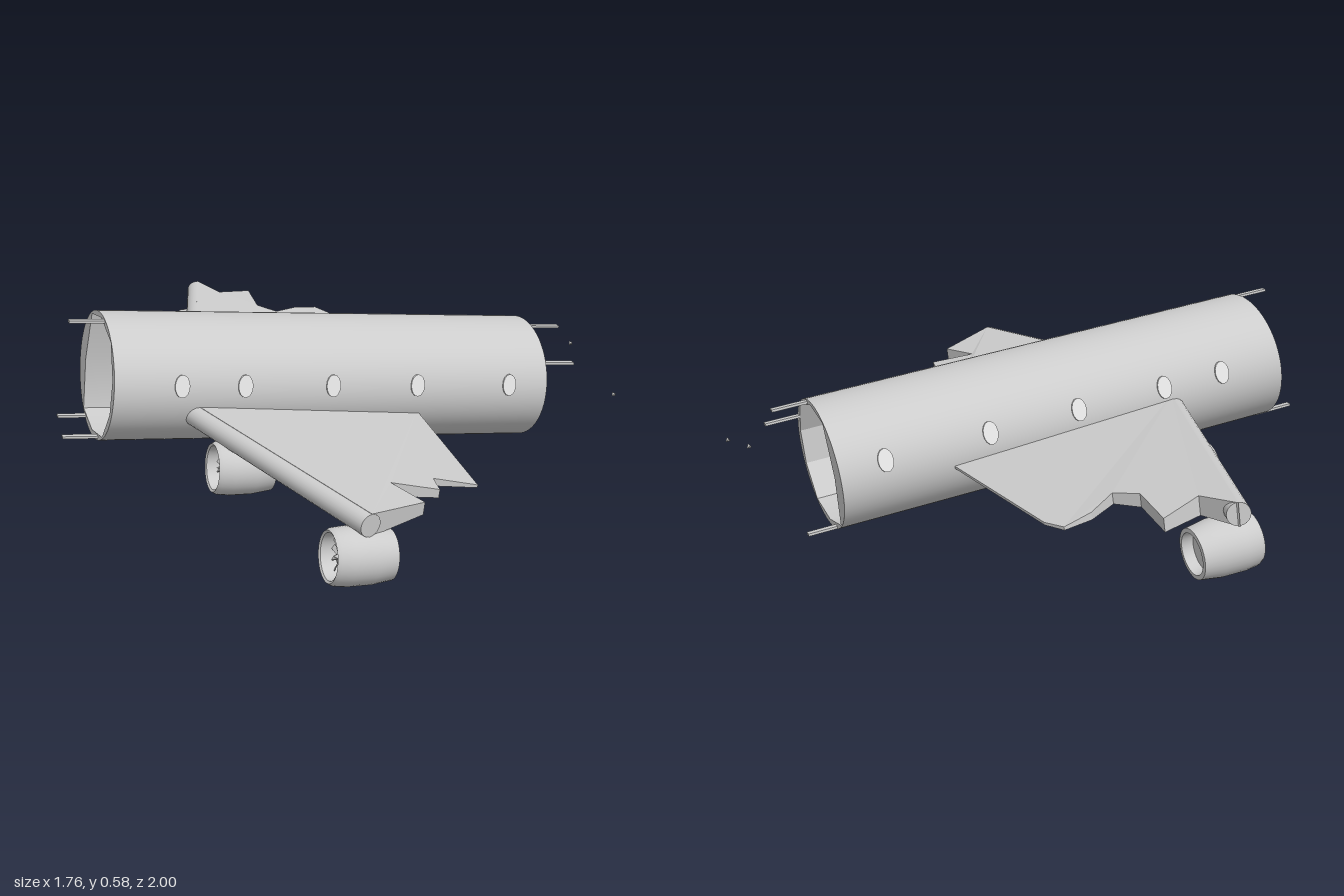
import * as THREE from 'three';
import { toCreasedNormals } from 'three/addons/utils/BufferGeometryUtils.js';

export function createModel() {
  const skin = new THREE.MeshStandardMaterial({ color: 0xcccccc });
  skin.name = 'bareMetal';
  const pane = new THREE.MeshStandardMaterial({ color: 0xf0f0f0 });
  pane.name = 'windowLight';
  const shade = new THREE.MeshStandardMaterial({ color: 0x8c8c8c });
  shade.name = 'fanShade';

  const model = new THREE.Group();
  model.name = 'wreckedAirliner';
  // local axes: x = port side, y = up, z = nose direction
  const plane = new THREE.Group();
  plane.name = 'airframe';
  model.add(plane);

  function add(parent, name, geo, mat, x = 0, y = 0, z = 0) {
    const m = new THREE.Mesh(geo, mat);
    m.name = name;
    m.position.set(x, y, z);
    parent.add(m);
    return m;
  }

  // Fuselage: elliptical tube with a faceted cabin bore
  const RX = 0.231, RY = 0.202, LEN = 1.487;
  const hull = new THREE.Shape();
  hull.absellipse(0, 0, RX, RY, 0, Math.PI * 2);
  hull.holes.push(new THREE.Path([
    [-0.12, 0.165], [0, 0.19], [0.14, 0.155], [0.198, 0.05], [0.198, -0.06],
    [0.13, -0.16], [0, -0.185], [-0.13, -0.16], [-0.155, 0],
  ].map(([x, y]) => new THREE.Vector2(x, y))));
  const hullGeo = new THREE.ExtrudeGeometry(hull, { depth: LEN, bevelEnabled: false, curveSegments: 28 });
  hullGeo.translate(0, 0, -LEN / 2);
  add(plane, 'fuselage', toCreasedNormals(hullGeo, 0.45), skin);

  // Cabin windows: thin rounded plates on both sides
  const win = new THREE.Shape();
  win.absellipse(0, 0, 0.024, 0.036, 0, Math.PI * 2);
  const winGeo = new THREE.ExtrudeGeometry(win, { depth: 0.008, bevelEnabled: false, curveSegments: 8 });
  const winY = 0.042;
  const winX = RX * Math.sqrt(1 - (winY / RY) ** 2);
  for (const side of [1, -1]) {
    for (const z of [0.53, 0.325, 0.03, -0.265, -0.6]) {
      const w = add(plane, 'cabinWindow', winGeo, pane, side * (winX - 0.003), winY, z);
      w.rotation.order = 'YXZ';
      w.rotation.set(-0.24, side * Math.PI / 2, 0);
    }
  }

  // Snapped stringers sticking out of both open ends: x, y, z
  const stringers = [
    [0.04, 0.19, 0.79], [0.07, -0.18, 0.79], [-0.1, -0.175, 0.77],
    [0.04, 0.19, -0.79], [-0.07, -0.185, -0.77], [0.18, 0.105, -0.79],
  ];
  for (const [x, y, z] of stringers)
    add(plane, 'stringer', new THREE.BoxGeometry(0.02, 0.008, 0.13), skin, x, y, z);

  // Wings: wedge plates with torn tips; outline points are [x, z]
  function makeWing(name, side, y0, noseZ, tailZ, outline) {
    const g = new THREE.Group();
    g.name = name;
    plane.add(g);
    const shape = new THREE.Shape(outline.map(([x, z]) => new THREE.Vector2(x, z)));
    const geo = new THREE.ExtrudeGeometry(shape, { depth: 1, bevelEnabled: false });
    const p = geo.attributes.position;
    for (let i = 0; i < p.count; i++) {
      const x = p.getX(i), z = p.getY(i), s = Math.abs(x);
      const le = noseZ - 0.298 * s, te = tailZ + 0.1 * s;
      const t = 0.008 + 0.062 * THREE.MathUtils.clamp((z - te) / (le - te), 0, 1);
      p.setXYZ(i, x, y0 + (0.5 - p.getZ(i)) * t, z);
    }
    geo.computeVertexNormals();
    add(g, 'wingPanel', geo, skin);
    // rounded leading edge
    const tip = side > 0 ? 1.055 : 1.07;
    const a = new THREE.Vector3(side * 0.195, y0, noseZ - 0.298 * 0.195);
    const b = new THREE.Vector3(side * tip, y0, noseZ - 0.298 * tip);
    const dir = b.clone().sub(a);
    const nose = add(g, 'leadingEdge', new THREE.CylinderGeometry(0.034, 0.034, dir.length(), 20), skin);
    nose.position.copy(a).add(b).multiplyScalar(0.5);
    nose.quaternion.setFromUnitVectors(new THREE.Vector3(0, 1, 0), dir.normalize());
  }
  makeWing('leftWing', 1, -0.06, 0.535, -0.31, [
    [0.195, 0.477], [1.055, 0.221], [0.955, 0.016], [0.817, 0.065],
    [0.858, -0.075], [0.774, -0.091], [0.814, -0.22], [0.195, -0.29],
  ]);
  makeWing('rightWing', -1, -0.035, 0.42, -0.415, [
    [-0.195, 0.362], [-1.075, 0.1], [-0.953, 0.047], [-1.009, -0.089], [-0.818, -0.063],
    [-0.755, -0.118], [-0.828, -0.217], [-0.857, -0.312], [-0.792, -0.342], [-0.195, -0.395],
  ]);

  // Engines: turned nacelle, fan blades and spinner
  const nacelle = toCreasedNormals(new THREE.LatheGeometry([
    [0, -0.06], [0.056, -0.06], [0.06, -0.093], [0.073, -0.092], [0.083, -0.03], [0.085, 0.04],
    [0.081, 0.08], [0.074, 0.092], [0.067, 0.088], [0.064, 0.04], [0, 0.04],
  ].map(([r, y]) => new THREE.Vector2(r, y)), 32), 0.7);
  nacelle.rotateX(Math.PI / 2);
  const spinner = new THREE.ConeGeometry(0.016, 0.035, 16);
  spinner.rotateX(Math.PI / 2);
  const disc = new THREE.CircleGeometry(0.063, 32);
  const bladeGeo = new THREE.BoxGeometry(0.014, 0.05, 0.003);
  bladeGeo.rotateY(0.6);
  bladeGeo.translate(0, 0.037, 0);
  const engines = [
    [0.388, -0.162, 0.37], [1.015, -0.168, 0.225],
    [-0.445, -0.155, 0.255], [-0.96, -0.165, 0.1],
  ];
  for (const [x, y, z] of engines) {
    const e = new THREE.Group();
    e.name = 'engine';
    e.position.set(x, y, z);
    plane.add(e);
    add(e, 'nacelle', nacelle, skin);
    add(e, 'fanDisc', disc, shade, 0, 0, 0.042);
    add(e, 'spinner', spinner, skin, 0, 0, 0.06);
    for (let i = 0; i < 12; i++)
      add(e, 'fanBlade', bladeGeo, skin, 0, 0, 0.052).rotation.z = (i / 12) * Math.PI * 2;
  }

  // Pose: nose up a little, banked to port
  const f = new THREE.Vector3(-0.842, 0.108, 0.528).normalize();
  const l = new THREE.Vector3(0.531, -0.068, 0.847);
  l.addScaledVector(f, -l.dot(f)).normalize();
  const up = new THREE.Vector3().crossVectors(f, l);
  plane.quaternion.setFromRotationMatrix(new THREE.Matrix4().makeBasis(l, up, f));
  plane.position.set(-0.119, 0.305, -0.0975);

  // Loose scraps behind the tail end
  for (const [x, y, z] of [[0.69, 0.315, -0.605], [0.853, 0.22, -0.335]])
    add(model, 'scrap', new THREE.TetrahedronGeometry(0.01), skin, x, y, z);

  return model;
}
